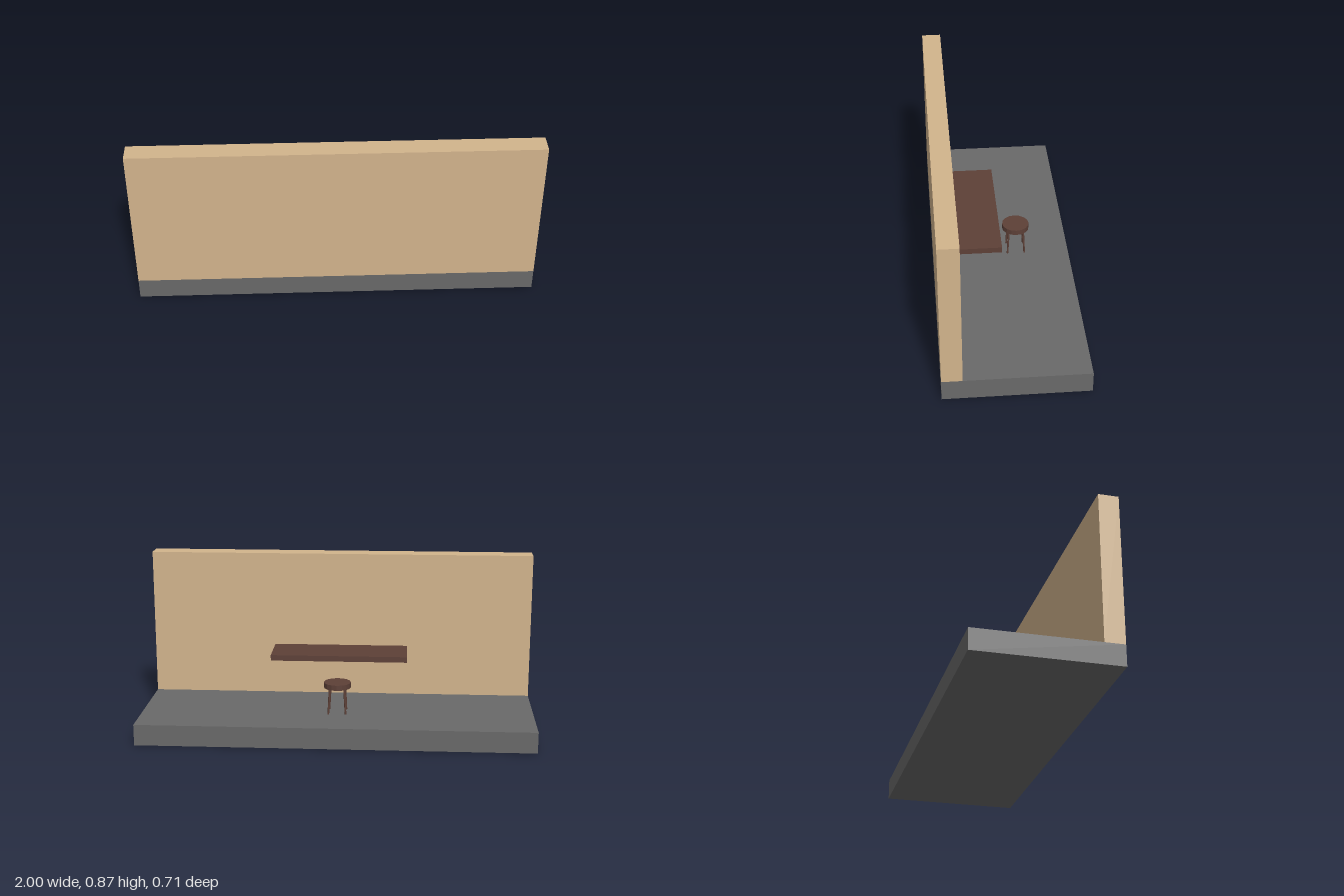
import * as THREE from 'three';

const material = (color) => new THREE.MeshStandardMaterial({ color, flatShading: true });

export function createModel() {
  const model = new THREE.Group();
  const stone = material(0x696969);
  const plaster = material(0xd2b48c);
  const wood = material(0x5d4037);

  // Box given by its lower and upper corners
  const block = (name, mat, [x0, y0, z0], [x1, y1, z1]) => {
    const mesh = new THREE.Mesh(new THREE.BoxGeometry(x1 - x0, y1 - y0, z1 - z0), mat);
    mesh.position.set((x0 + x1) / 2, (y0 + y1) / 2, (z0 + z1) / 2);
    mesh.name = name;
    model.add(mesh);
  };

  const floorTop = 0.107;
  block('floor', stone, [-1, 0, -0.354], [1, floorTop, 0.354]);
  block('wall', plaster, [-1, floorTop, 0.254], [1, 0.866, 0.354]);
  block('counter', wood, [-0.352, 0.346, 0.018], [0.352, 0.375, 0.248]);

  // Round stool standing behind the counter
  const stool = new THREE.Group();
  stool.name = 'stool';
  stool.position.set(0, floorTop, -0.08);
  model.add(stool);

  const seat = new THREE.Mesh(new THREE.CylinderGeometry(0.069, 0.069, 0.027, 16), wood);
  seat.name = 'seat';
  seat.position.y = 0.1455;
  stool.add(seat);

  // Four tapered legs splayed towards the corners
  const up = new THREE.Vector3(0, 1, 0);
  for (const sx of [-1, 1]) {
    for (const sz of [-1, 1]) {
      const foot = new THREE.Vector3(sx * 0.044, 0, sz * 0.044);
      const head = new THREE.Vector3(sx * 0.037, 0.133, sz * 0.037);
      const axis = head.clone().sub(foot);
      const leg = new THREE.Mesh(new THREE.CylinderGeometry(0.0056, 0.0044, axis.length(), 8), wood);
      leg.name = 'stoolLeg';
      leg.position.copy(foot).add(head).multiplyScalar(0.5);
      leg.quaternion.setFromUnitVectors(up, axis.normalize());
      stool.add(leg);
    }
  }

  return model;
}
